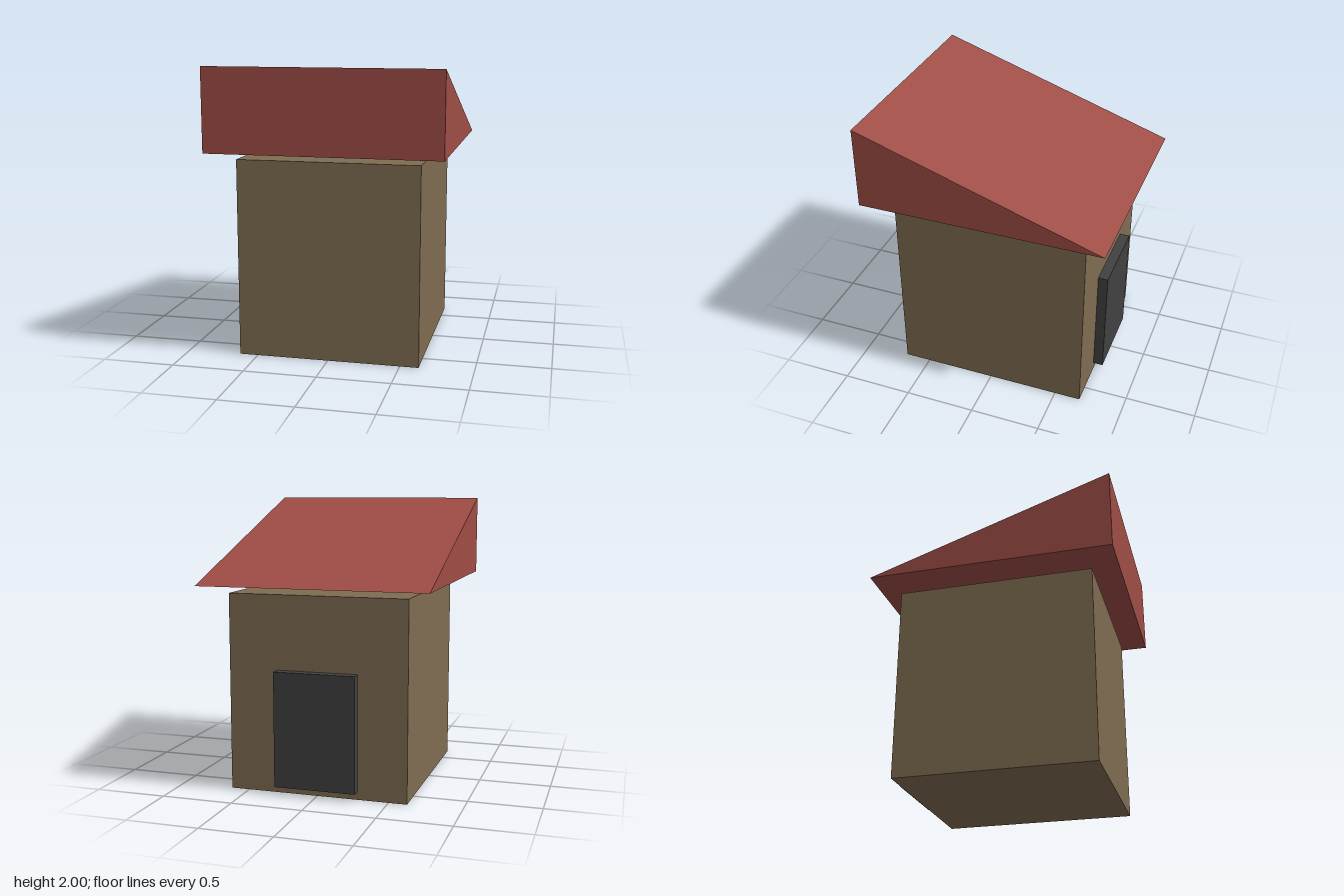
import * as THREE from 'three';

const material = (name, color) => {
  const m = new THREE.MeshStandardMaterial({ color });
  m.name = name;
  return m;
};

export function createModel() {
  const group = new THREE.Group();
  const brown = material('brown wall', 0x7f6c52);
  const red = material('red roof', 0x9f4d45);
  const charcoal = material('charcoal door', 0x414141);

  const add = (name, geometry, mat, x, y, z) => {
    const mesh = new THREE.Mesh(geometry, mat);
    mesh.name = name;
    mesh.position.set(x, y, z);
    group.add(mesh);
  };

  // Plain box body standing on the ground
  const bodyHeight = 1.371, bodyDepth = 1.371;
  add('body', new THREE.BoxGeometry(1.257, bodyHeight, bodyDepth), brown, 0, bodyHeight / 2, 0);

  // Door slab standing out from the back wall
  const doorThickness = 0.07;
  add('door', new THREE.BoxGeometry(0.571, 0.8, doorThickness), charcoal,
    0, 0.457, -(bodyDepth + doorThickness) / 2);

  // Wedge roof floating above the body: tall at the front, sharp at the back
  const halfDepth = 0.857, roofWidth = 1.6, roofBase = 1.429;
  const profile = new THREE.Shape([
    new THREE.Vector2(-halfDepth, 0),
    new THREE.Vector2(halfDepth, 0),
    new THREE.Vector2(halfDepth, 2 - roofBase),
  ]);
  const roof = new THREE.ExtrudeGeometry(profile, { depth: roofWidth, bevelEnabled: false });
  roof.translate(0, 0, -roofWidth / 2).rotateY(-Math.PI / 2);
  add('roof', roof, red, 0, roofBase, 0);

  return group;
}
